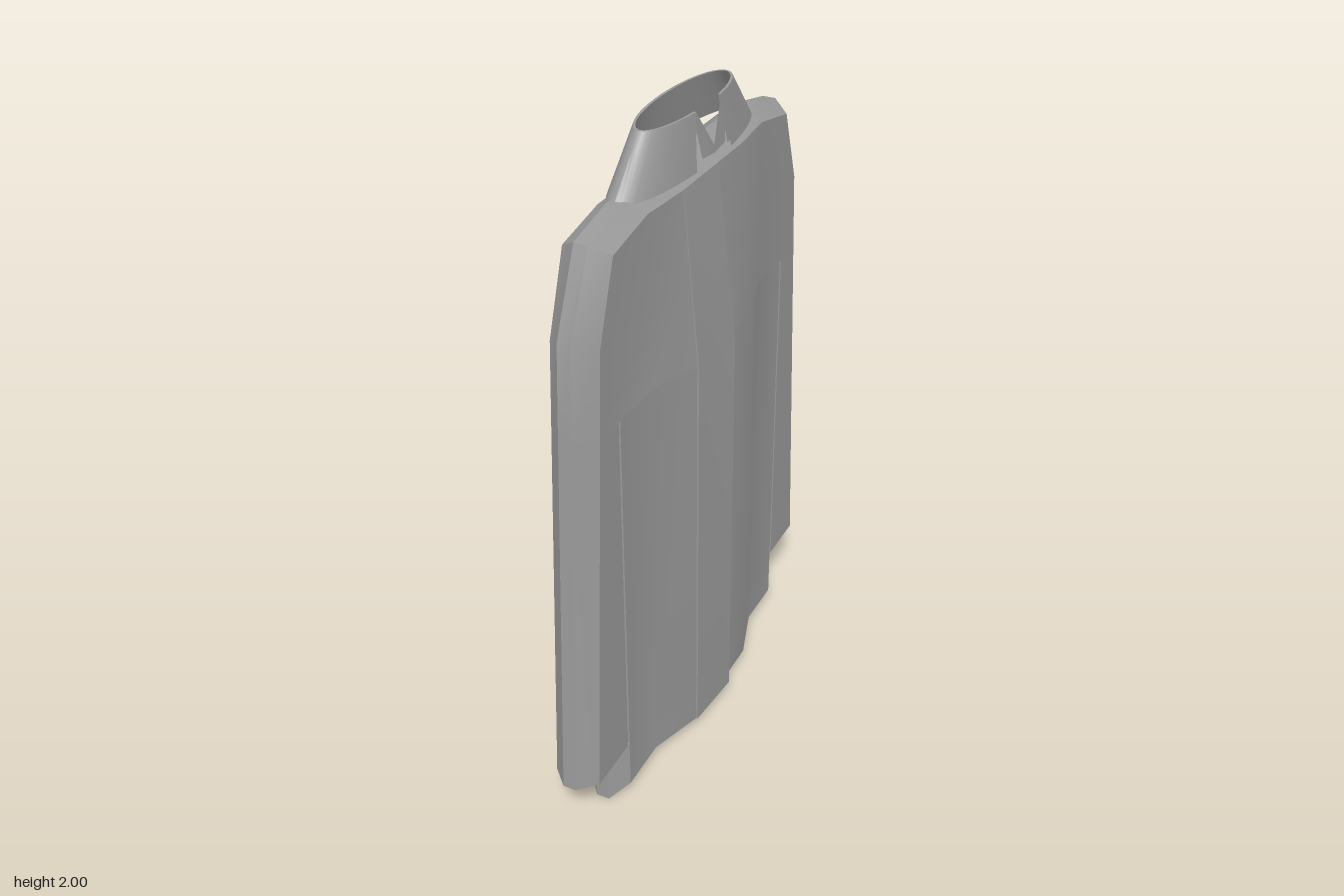
import * as THREE from 'three';
import { toCreasedNormals } from 'three/addons/utils/BufferGeometryUtils.js';

const cloth = new THREE.MeshStandardMaterial({ color: 0x999999, side: THREE.DoubleSide });
cloth.name = 'grey cloth';

// Skin a list of rows of [x, y, z] points; closed rows wrap round.
function loft(name, rows, closed = true) {
  const n = rows[0].length, pos = [], idx = [];
  rows.forEach(row => row.forEach(p => pos.push(...p)));
  for (let r = 0; r < rows.length - 1; r++) {
    for (let i = 0; i < (closed ? n : n - 1); i++) {
      const j = (i + 1) % n, a = r * n + i, b = r * n + j;
      idx.push(a, b, b + n, a, b + n, a + n);
    }
  }
  const geo = new THREE.BufferGeometry();
  geo.setAttribute('position', new THREE.Float32BufferAttribute(pos, 3));
  geo.setIndex(idx);
  const mesh = new THREE.Mesh(toCreasedNormals(geo, 0.4), cloth);
  mesh.name = name;
  return mesh;
}

const EDGE_F = 0.055, EDGE_B = -0.085, RIDGE_F = 0.005, RIDGE_B = -0.035;
const lerp = THREE.MathUtils.lerp;
const chest = y => Math.max(0, Math.min(1, (y - 1.33) / 0.5));
const frontX = (x, y) => EDGE_F + (x - EDGE_F) * lerp(1, 0.25, chest(y));
const backX = (x, y) => EDGE_B + (x - EDGE_B) * (1 - chest(y));

// Closed horizontal section: front panel, side ridge, back panel, side ridge.
function section(y, edge, ridgeY, ridge) {
  const f = (x, z) => [frontX(x, y), y, z], b = (x, z) => [backX(x, y), y, z];
  const m = Math.min(0.35, edge);
  return [
    f(EDGE_F, edge), f(EDGE_F, m), f(0.11, 0.18), f(0.11, 0), f(0.11, -0.18), f(EDGE_F, -m), f(EDGE_F, -edge),
    [RIDGE_F, ridgeY, -ridge], [RIDGE_B, ridgeY, -ridge],
    b(EDGE_B, -edge), b(-0.135, -m), b(-0.135, m), b(EDGE_B, edge),
    [RIDGE_B, ridgeY, ridge], [RIDGE_F, ridgeY, ridge],
  ];
}

export function createModel() {
  const model = new THREE.Group();
  model.name = 'coat';

  // Body below the armpits, open at the hem
  model.add(loft('body', [
    section(0.045, 0.518, 0, 0.565),
    section(0.17, 0.518, 0.17, 0.565),
    section(0.205, 0.518, 0.205, 0.525),
    section(1.325, 0.518, 1.325, 0.522),
  ]));

  // Shoulders, closed along the top ridge
  const top = section(1.83, 0.35, 1.86, 0.4);
  const ridge = top.map(([x, , z]) => [x > -0.015 ? RIDGE_F : RIDGE_B, 1.86, z]);
  model.add(loft('shoulders', [
    section(1.325, 0.626, 1.325, 0.678),
    section(1.57, 0.61, 1.6, 0.66),
    section(1.795, 0.53, 1.825, 0.56),
    top, ridge, ridge.map(([, y, z]) => [-0.015, y, z]),
  ]));

  // Sleeves, open at the cuff and parted from the body by a slit
  for (const s of [1, -1]) {
    const ring = (y, edge, outer, inner = 0.527) => [
      [EDGE_F, y, s * inner], [EDGE_F, y, s * edge],
      [RIDGE_F, y, s * outer], [RIDGE_B, y, s * outer],
      [EDGE_B, y, s * edge], [EDGE_B, y, s * inner],
    ];
    model.add(loft(s > 0 ? 'leftSleeve' : 'rightSleeve',
      [ring(0.205, 0.7, 0.75), ring(1.325, 0.626, 0.678)]));
  }

  // Overlapping front flap
  model.add(loft('frontFlap', [0.045, 1.33, 1.83].map(y => [
    [frontX(0.11, y), y, -0.02], [frontX(0.132, y), y, -0.02],
    [frontX(0.115, y), y, 0.18], [frontX(0.11, y), y, 0.18],
  ]), false));

  // Collar: a tapering oval wall with a turned inner face and a front gap
  const oval = y => {
    const t = (y - 1.85) / 0.15;
    return { c: lerp(-0.02, -0.015, t), a: lerp(0.095, 0.072, t), b: lerp(0.39, 0.255, t) };
  };
  const wall = [[1.85, 0.105, 0], [1.96, 0.085, 0], [2, 0.075, 0], [2, 0.075, 0.008], [1.86, 0.103, 0.008]];
  model.add(loft('collar', wall.map(([y, gap, inset]) => {
    const { c, a, b } = oval(y), start = Math.asin(gap / b);
    return Array.from({ length: 41 }, (_, i) => {
      const p = lerp(start, Math.PI * 2 - start, i / 40);
      return [c + (a - inset) * Math.cos(p), y, (b - inset) * Math.sin(p)];
    });
  }), false));

  // Notched collar front, meeting in a V
  const onCollar = ([z, y]) => {
    const { c, a, b } = oval(y);
    return [c + a * Math.sqrt(1 - (z / b) ** 2), y, z];
  };
  const mirrored = half => [...half, ...half.slice(0, -1).reverse().map(([z, y]) => [-z, y])].map(onCollar);
  model.add(loft('collarFront', [
    mirrored([[0.085, 1.96], [0.07, 1.875], [0, 1.868]]),
    mirrored([[0.085, 1.96], [0.075, 2], [0, 1.89]]),
  ], false));

  return model;
}
